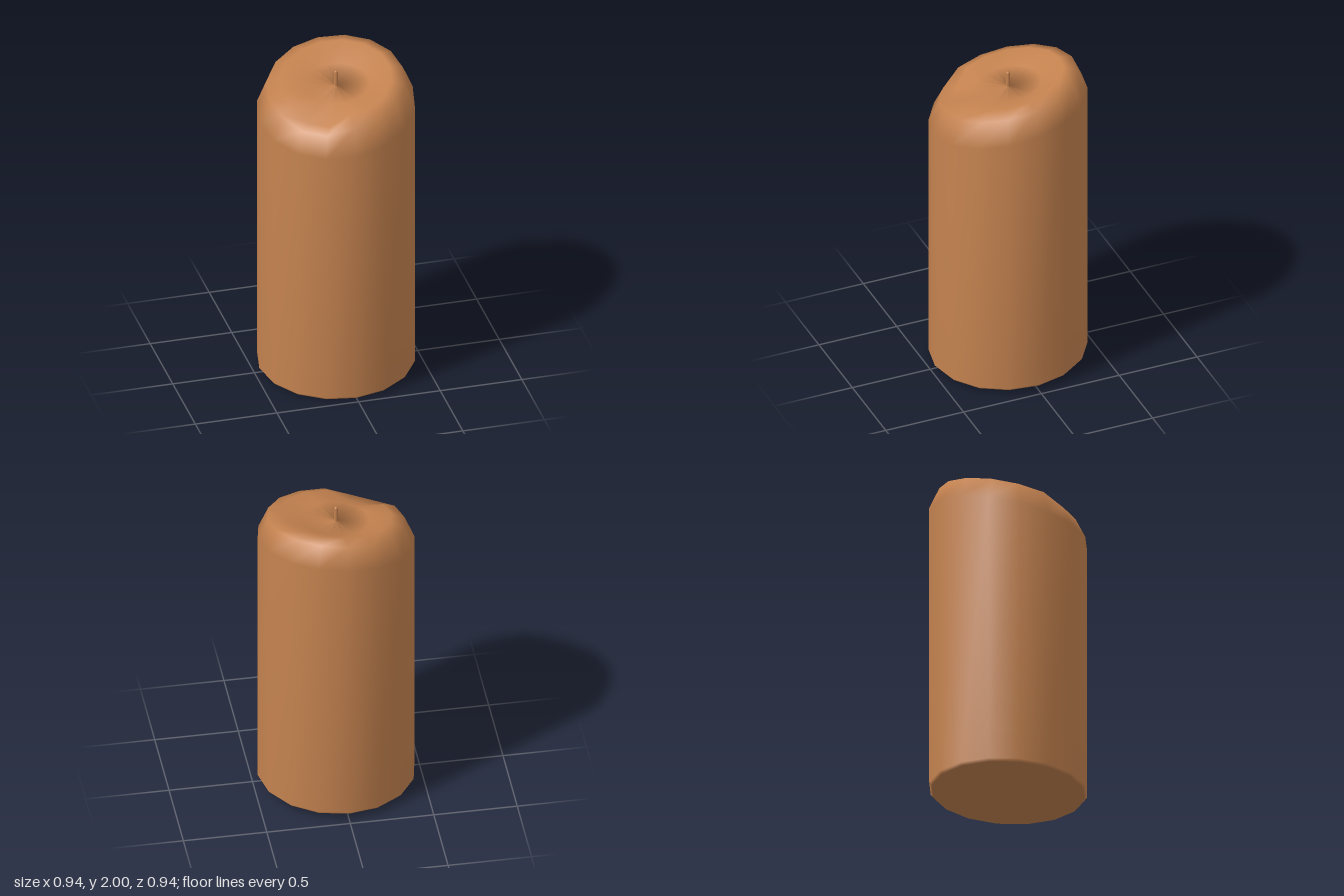
import * as THREE from 'three';

const SIDES = 16;

// Each ring: radius, height at the axis, slope along x, slope along z, depth of the spill notch
const BODY_RINGS = [
  [0.001, 0.02, 0, 0, 0],
  [0.455, 0.02, 0.02, -0.04, 0],
  [0.47, 0.037, 0.02, -0.04, 0],
  [0.47, 1.745, 0.106, -0.21, 0],
  [0.41, 1.89, 0.11, -0.21, 0.035],
  [0.33, 1.92, 0.11, -0.21, 0.065],
  [0.2, 1.885, 0.07, -0.12, 0],
  [0.012, 1.875, 0, 0, 0],
];
const WICK_RINGS = [
  [0.012, 1.86, 0, 0, 0],
  [0.012, 1.965, 0, 0, 0],
  [0.008, 1.972, 0, 0, 0],
  [0.0005, 1.973, 0, 0, 0],
];

// Smooth surface through stacked, tilted rings
function loft(rings) {
  const pos = [], index = [];
  rings.forEach(([r, y, sx, sz, notch], k) => {
    for (let i = 0; i < SIDES; i++) {
      const a = (i / SIDES) * Math.PI * 2;
      const x = Math.sin(a) * r, z = Math.cos(a) * r;
      // the melted notch sits at the front, on the -x side
      const dip = i === SIDES - 1 || i === SIDES - 2 ? notch : 0;
      pos.push(x, y + sx * x + sz * z - dip, z);
      if (k === 0) continue;
      const j = (i + 1) % SIDES;
      const lo = (k - 1) * SIDES, hi = k * SIDES;
      index.push(lo + i, lo + j, hi + j, lo + i, hi + j, hi + i);
    }
  });
  const g = new THREE.BufferGeometry();
  g.setAttribute('position', new THREE.Float32BufferAttribute(pos, 3));
  g.setIndex(index);
  g.computeVertexNormals();
  return g;
}

export function createModel() {
  const group = new THREE.Group();
  group.name = 'candle';
  const wax = new THREE.MeshStandardMaterial({ name: 'brown wax', color: 0xc4824f });

  // Wax body; its shading flows into the wick at the centre
  const bodyGeo = loft(BODY_RINGS);
  const normal = bodyGeo.attributes.normal;
  const first = (BODY_RINGS.length - 1) * SIDES;
  for (let i = 0; i < SIDES; i++) {
    const a = (i / SIDES) * Math.PI * 2;
    normal.setXYZ(first + i, Math.sin(a) * 0.95, 0.31, Math.cos(a) * 0.95);
  }
  const body = new THREE.Mesh(bodyGeo, wax);
  body.name = 'waxBody';

  const wick = new THREE.Mesh(loft(WICK_RINGS), wax);
  wick.name = 'wick';

  group.add(body, wick);
  return group;
}
